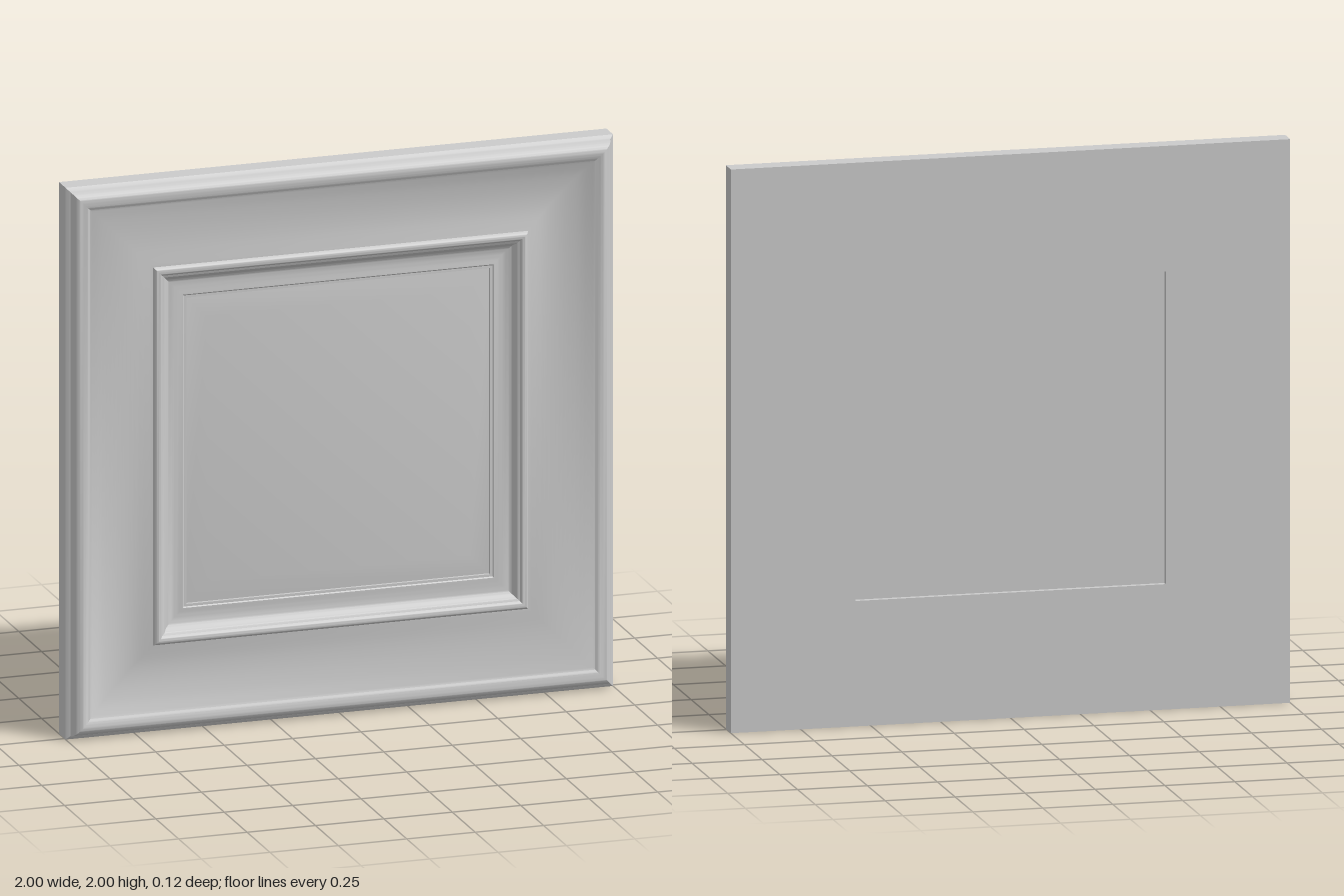
import * as THREE from 'three';
import { toCreasedNormals } from 'three/addons/utils/BufferGeometryUtils.js';

const grey = new THREE.MeshStandardMaterial({ color: 0xcccccc });

// Smooth run of profile points through a few control points
const smooth = (pts, n) =>
  new THREE.SplineCurve(pts.map(([r, z]) => new THREE.Vector2(r, z))).getPoints(n);
const straight = (pts) => pts.map(([r, z]) => new THREE.Vector2(r, z));

// Sweeps a (half-width, z) profile round a square with mitred corners
function squareSweep(name, profile) {
  const pts = profile.map((p) => new THREE.Vector2(p.x * Math.SQRT2, p.y));
  let geo = new THREE.LatheGeometry(pts, 4, Math.PI / 4);
  geo.rotateX(Math.PI / 2);
  geo.deleteAttribute('uv');
  geo = toCreasedNormals(geo, 0.6);
  const mesh = new THREE.Mesh(geo, grey);
  mesh.name = name;
  mesh.position.y = 1;
  return mesh;
}

export function createModel() {
  const group = new THREE.Group();
  group.name = 'framedPanel';

  // Frame moulding: flat back, rounded outer edge, scoop, bead, inner cove and lip
  group.add(squareSweep('frame', [
    ...straight([[0.555, -0.06], [1, -0.06], [1, 0.012], [0.99, 0.02]]),
    ...smooth([[0.986, 0.022], [0.982, 0.038], [0.972, 0.052], [0.955, 0.06], [0.938, 0.057],
      [0.915, 0.046], [0.87, 0.029], [0.81, 0.017], [0.75, 0.016], [0.685, 0.027]], 36),
    ...smooth([[0.683, 0.032], [0.677, 0.039], [0.668, 0.042], [0.659, 0.039], [0.653, 0.031]], 12),
    ...straight([[0.645, 0.029]]),
    ...smooth([[0.642, 0.026], [0.634, 0.013], [0.618, 0.004], [0.595, 0], [0.568, 0.003]], 14),
    ...straight([[0.564, 0], [0.555, 0], [0.555, -0.06]]),
  ]));

  // Centre panel with a bevelled border, recessed at the back
  group.add(squareSweep('bevelledPanel', straight([
    [0, -0.04], [0.558, -0.04], [0.558, -0.012], [0.48, 0], [0, 0],
  ])));

  return group;
}
